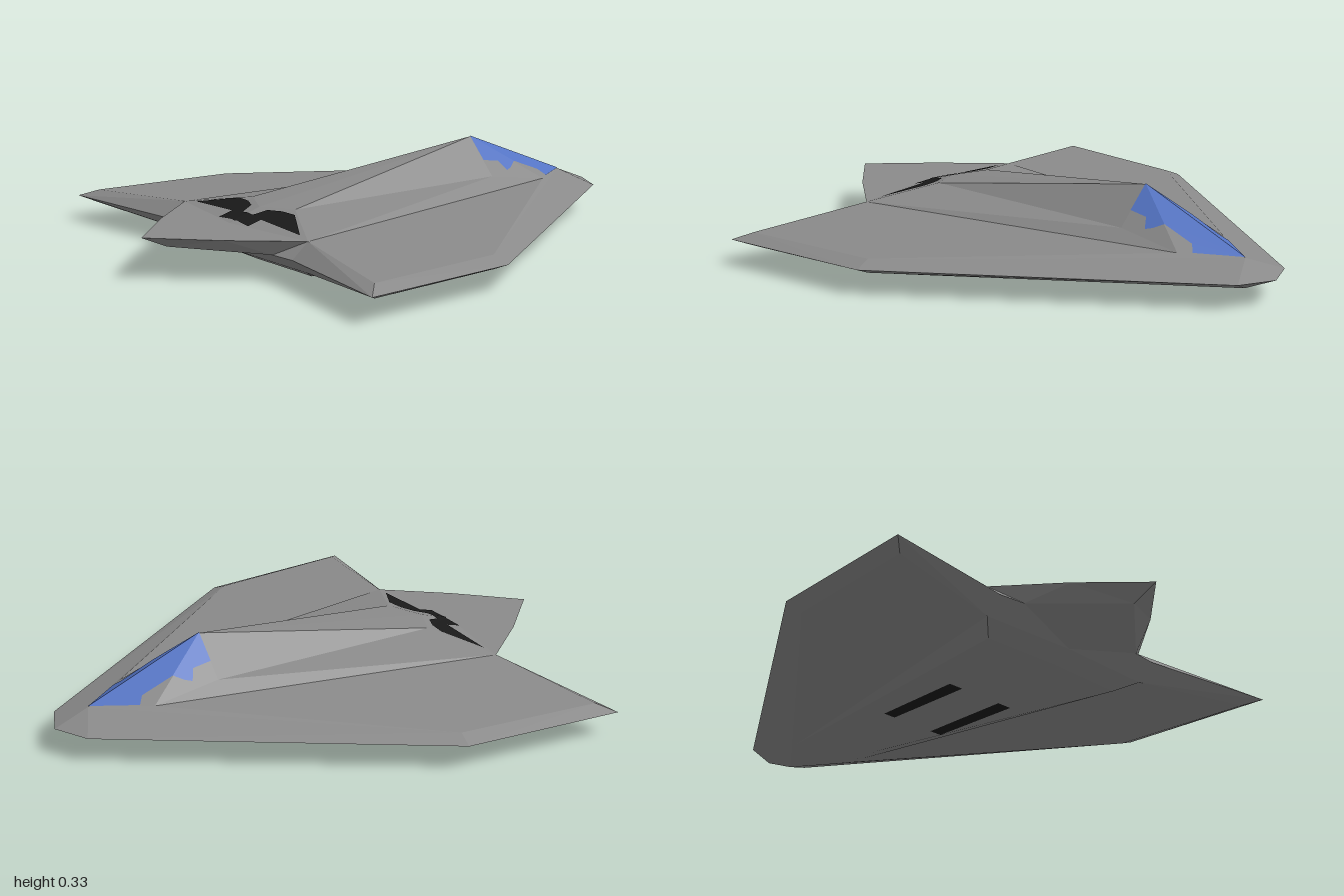
import * as THREE from 'three';

const V = (x, y, z) => new THREE.Vector3(x, y, z);

// Key points of the left half (the right half is mirrored)
const apex = V(0, .32, -.43), canopyTip = V(0, .142, -.87), sill = V(.13, .15, -.68), canopyRear = V(.13, .19, -.43);
const spineEnd = V(.13, .19, .46), spineMid = V(0, .185, .52), root = V(.38, .145, .585), deckMid = V(0, .145, .645);
const nose = V(0, .09, -1), noseSide = V(.13, .09, -.94), tipFront = V(.86, .09, .12), tipRear = V(.91, .09, .72), rootRear = V(.38, .09, .65);
const upFront = V(.80, .115, .13), upRear = V(.85, .115, .665);
const lowNose = V(0, .035, -.87), lowSill = V(.13, .035, -.68), lowFront = V(.80, .065, .13), lowRear = V(.85, .065, .665);
const lowRoot = V(.38, .035, .585), lowMid = V(0, .035, .6);
const tailSide = V(.2, .145, .8), tailTip = V(0, .145, 1), keelSide = V(.28, .09, .66), keelTip = V(0, .10, .9);
const bellyNose = V(0, 0, -.45), bellyFront = V(.08, 0, -.45), bellyRear = V(.31, 0, .52), bellyMid = V(0, 0, .53);

// Flat facets mirrored in x; every triangle is turned to face up (dir 1) or down (dir -1)
function facets(dir, polygons) {
  const pos = [];
  for (const poly of polygons) {
    for (let i = 1; i < poly.length - 1; i++) {
      for (const side of [1, -1]) {
        const t = [poly[0], poly[i], poly[i + 1]].map(p => V(p.x * side, p.y, p.z));
        const n = t[1].clone().sub(t[0]).cross(t[2].clone().sub(t[0]));
        if (n.y * dir < 0) t.reverse();
        t.forEach(p => pos.push(p.x, p.y, p.z));
      }
    }
  }
  const g = new THREE.BufferGeometry();
  g.setAttribute('position', new THREE.Float32BufferAttribute(pos, 3));
  g.computeVertexNormals();
  return g;
}

// Outline given in x, z, laid on the plane through three points with a small lift
function patch(outline, plane, lift) {
  const pl = new THREE.Plane().setFromCoplanarPoints(...plane);
  const pts = outline.map(([x, z]) => V(x, -(pl.normal.x * x + pl.normal.z * z + pl.constant) / pl.normal.y + lift, z));
  const tris = THREE.ShapeUtils.triangulateShape(outline.map(([x, z]) => new THREE.Vector2(x, z)), []);
  return tris.map(t => t.map(i => pts[i]));
}

export function createModel() {
  const model = new THREE.Group();
  model.name = 'aircraft';
  const material = (name, color) => {
    const m = new THREE.MeshStandardMaterial({ color });
    m.name = name;
    return m;
  };
  const grey = material('hull grey', 0x8a8a8a);
  const blue = material('glass blue', 0x5474c4);
  const black = material('vent black', 0x1a1a1a);
  const add = (name, mat, dir, polygons) => {
    const mesh = new THREE.Mesh(facets(dir, polygons), mat);
    mesh.name = name;
    model.add(mesh);
  };

  // Upper body
  add('canopyFrame', grey, 1, [[canopyTip, sill, apex], [sill, canopyRear, apex]]);
  add('spine', grey, 1, [[apex, spineEnd, spineMid], [apex, canopyRear, spineEnd]]);
  add('bodyShoulder', grey, 1, [[canopyRear, sill, root, spineEnd]]);
  add('exhaustSlope', grey, 1, [[spineEnd, root, deckMid], [spineEnd, spineMid, deckMid]]);
  add('tailDeck', grey, 1, [[deckMid, root, tailSide, tailTip]]);

  // Wings: upper and lower skin, edge bevels
  add('wingTop', grey, 1, [[canopyTip, sill, upFront], [sill, root, upFront], [root, upRear, upFront]]);
  add('upperBevel', grey, 1, [[nose, noseSide, canopyTip], [noseSide, tipFront, upFront, canopyTip],
    [tipFront, tipRear, upRear, upFront], [tipRear, rootRear, root, upRear], [root, rootRear, keelSide]]);
  add('wingBottom', grey, -1, [[lowNose, lowSill, lowFront], [lowSill, lowRoot, lowFront], [lowRoot, lowRear, lowFront]]);
  add('lowerBevel', grey, -1, [[nose, noseSide, lowNose], [noseSide, tipFront, lowFront, lowNose],
    [tipFront, tipRear, lowRear, lowFront], [tipRear, rootRear, lowRoot, lowRear], [rootRear, lowRoot, keelSide]]);

  // Tail underside and belly
  add('tailUnderside', grey, -1, [[root, tailSide, keelSide], [tailSide, tailTip, keelTip, keelSide],
    [keelSide, keelTip, lowMid, lowRoot]]);
  add('belly', grey, -1, [[bellyNose, bellyFront, bellyRear, bellyMid], [lowSill, lowRoot, bellyRear, bellyFront],
    [lowNose, lowSill, bellyFront, bellyNose], [lowRoot, lowMid, bellyMid, bellyRear]]);

  // Canopy glass
  add('canopyGlass', blue, 1, [
    ...patch([[0, -.87], [.1, -.722], [.075, -.7], [.078, -.58], [0, -.43]], [canopyTip, sill, apex], .003),
    ...patch([[.078, -.58], [.1, -.545], [.11, -.52], [.08, -.5], [.08, -.43], [0, -.43]], [sill, canopyRear, apex], .003)]);

  // Exhaust slots
  add('exhaustSlots', black, 1, [
    ...patch([[.32, .575], [.17, .49], [.105, .496], [.05, .574], [.015, .624], [.09, .63], [.09, .575]],
      [spineEnd, root, deckMid], .003),
    ...patch([[.105, .496], [.05, .52], [.03, .57], [0, .57], [0, .63], [.015, .624], [.05, .574]],
      [spineEnd, spineMid, deckMid], .003)]);

  // Belly vents
  add('bellyVents', black, -1,
    patch([[.09, -.18], [.14, -.18], [.15, .17], [.09, .17]], [bellyNose, bellyFront, bellyRear], -.002));

  // Rest on the ground
  model.position.y = .002;
  return model;
}
